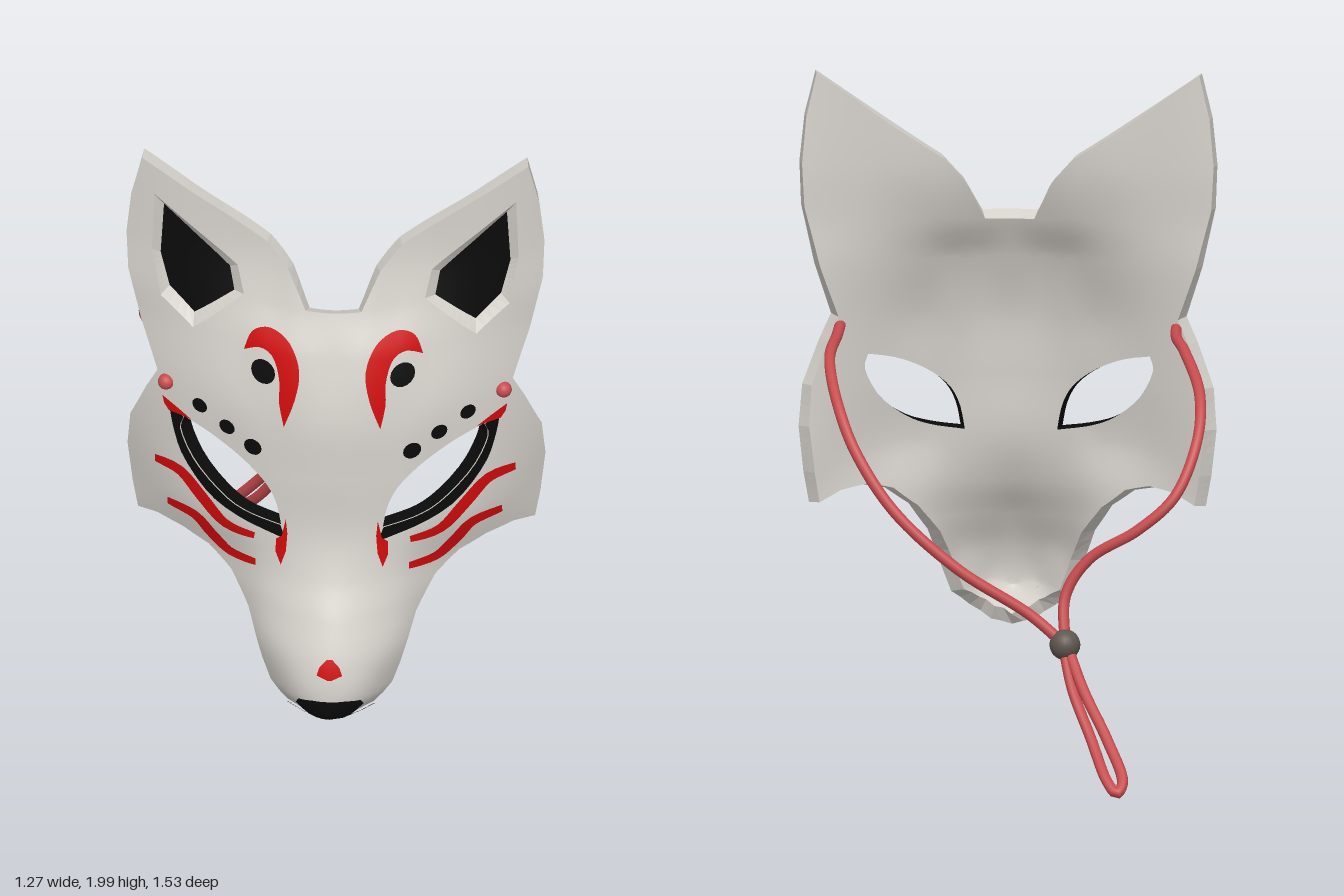
import * as THREE from 'three';

const mat = (name, color) => Object.assign(new THREE.MeshStandardMaterial({ color }), { name });
const white = mat('mask white', 0xd4d0ca);
const black = mat('paint black', 0x0a0a0a);
const red = mat('paint red', 0xcc0a0c);
const cordRed = mat('cord red', 0xc84c4e);
const brown = mat('bead brown', 0x5e564f);

const THICK = 0.05;   // shell thickness
const STEP = 0.04;    // longest edge of a facet

// Depth of the face: one row per height, one column per distance from the middle
const XS = [0, 0.1, 0.2, 0.3, 0.45, 0.65];
const YS = [0.187, 0.24, 0.3, 0.42, 0.55, 0.66, 0.8, 1.0, 1.2, 1.4, 1.53, 1.7, 2.0];
const ROWS = [
  [0.61, 0.575, 0.50, 0.40, 0.25, 0.10],
  [0.735, 0.67, 0.55, 0.42, 0.25, 0.10],
  [0.76, 0.72, 0.585, 0.43, 0.26, 0.10],
  [0.745, 0.715, 0.62, 0.46, 0.30, 0.12],
  [0.69, 0.66, 0.59, 0.48, 0.34, 0.15],
  [0.63, 0.61, 0.56, 0.485, 0.375, 0.19],
  [0.59, 0.58, 0.55, 0.51, 0.41, 0.21],
  [0.585, 0.575, 0.545, 0.495, 0.405, 0.25],
  [0.575, 0.565, 0.53, 0.485, 0.395, 0.275],
  [0.52, 0.515, 0.48, 0.43, 0.37, 0.29],
  [0.465, 0.45, 0.415, 0.39, 0.36, 0.305],
  [0.40, 0.40, 0.375, 0.36, 0.35, 0.31],
  [0.38, 0.38, 0.37, 0.36, 0.35, 0.33],
];

// Smooth interpolation of values vs at knots ks
function spline(ks, vs, t, flatStart) {
  const n = ks.length - 1;
  t = Math.min(Math.max(t, ks[0]), ks[n]);
  let i = 0;
  while (i < n - 1 && t > ks[i + 1]) i++;
  const slope = (j) => {
    if (j === 0 && flatStart) return 0;
    const a = Math.max(j - 1, 0), b = Math.min(j + 1, n);
    return (vs[b] - vs[a]) / (ks[b] - ks[a]);
  };
  const h = ks[i + 1] - ks[i], u = (t - ks[i]) / h, w = 1 - u;
  return vs[i] * (1 + 2 * u) * w * w + vs[i + 1] * u * u * (3 - 2 * u)
    + h * u * w * (slope(i) * w - slope(i + 1) * u);
}
const depthAt = (x, y) => spline(YS, ROWS.map((r) => spline(XS, r, Math.abs(x), true)), y, false);

function normalAt({ x, y }) {
  const e = 0.005;
  return new THREE.Vector3(
    (depthAt(x - e, y) - depthAt(x + e, y)) / (2 * e),
    (depthAt(x, y - e) - depthAt(x, y + e)) / (2 * e), 1).normalize();
}
// Point at a given depth below the face
const place = (p, d, n = normalAt(p)) => new THREE.Vector3(p.x, p.y, depthAt(p.x, p.y)).addScaledVector(n, -d);

const pts = (list, s = 1) => list.map(([x, y]) => new THREE.Vector2(x * s, y));
const curve = (list, s = 1, n = 16) => new THREE.SplineCurve(pts(list, s)).getPoints(n);
const orient = (c, ccw) => ((THREE.ShapeUtils.area(c) > 0) === ccw ? c : c.slice().reverse());
const circle = (x, y, r) => Array.from({ length: 16 }, (_, i) =>
  new THREE.Vector2(x + r * Math.cos(i * Math.PI / 8), y + r * Math.sin(i * Math.PI / 8)));

function makeMesh(name, material, pos, nor) {
  const g = new THREE.BufferGeometry();
  g.setAttribute('position', new THREE.Float32BufferAttribute(pos, 3));
  if (nor) g.setAttribute('normal', new THREE.Float32BufferAttribute(nor, 3));
  else g.computeVertexNormals();
  const m = new THREE.Mesh(g, material);
  m.name = name;
  return m;
}

// Flat outline, finely divided and laid on the face at depth d
function sheet(name, material, contour, holes, d, back = false) {
  const c = orient(contour, true), hs = holes.map((h) => orient(h, false));
  const all = [c, ...hs].flat(), pos = [], nor = [];
  const emit = (a, b, e) => {
    for (const p of back ? [a, e, b] : [a, b, e]) {
      const n = normalAt(p);
      pos.push(...place(p, d, n).toArray());
      nor.push(...n.multiplyScalar(back ? -1 : 1).toArray());
    }
  };
  // Halve the longest edge until every edge is short
  const split = (a, b, e) => {
    const ab = a.distanceTo(b), be = b.distanceTo(e), ea = e.distanceTo(a);
    if (Math.max(ab, be, ea) <= STEP) return emit(a, b, e);
    let [p, q, r] = [a, b, e];
    if (be > ab && be >= ea) [p, q, r] = [b, e, a];
    else if (ea > ab) [p, q, r] = [e, a, b];
    const mid = p.clone().add(q).multiplyScalar(0.5);
    split(p, mid, r);
    split(mid, q, r);
  };
  for (const [i, j, k] of THREE.ShapeUtils.triangulateShape(c, hs)) {
    const [a, b, e] = [all[i], all[j], all[k]];
    if (THREE.ShapeUtils.area([a, b, e]) > 0) split(a, b, e); else split(a, e, b);
  }
  return makeMesh(name, material, pos, nor);
}

// Band joining contour A at depth dA to contour B at depth dB
function wall(name, material, A, dA, B, dB) {
  const pos = [];
  A.forEach((a, i) => {
    const j = (i + 1) % A.length, len = a.distanceTo(A[j]);
    const n = 2 ** Math.max(0, Math.ceil(Math.log2(len / STEP)));
    const at = (C, t, d) => place(C[i].clone().lerp(C[j], t), d);
    for (let k = 0; k < n; k++) {
      const f0 = at(A, k / n, dA), f1 = at(A, (k + 1) / n, dA);
      const b0 = at(B, k / n, dB), b1 = at(B, (k + 1) / n, dB);
      for (const p of [f0, b0, b1, f0, b1, f1]) pos.push(...p.toArray());
    }
  });
  return makeMesh(name, material, pos);
}

// Tapered brush stroke along a centre line
function stroke(list, s, width) {
  const c = new THREE.SplineCurve(pts(list, s)), a = [], b = [];
  for (let i = 0; i <= 16; i++) {
    const t = i / 16, p = c.getPoint(t), q = c.getTangent(t);
    const w = width / 2 * (0.45 + 0.55 * Math.sin(Math.PI * Math.min(1, t * 0.85 + 0.1)));
    a.push(new THREE.Vector2(p.x - q.y * w, p.y + q.x * w));
    b.unshift(new THREE.Vector2(p.x + q.y * w, p.y - q.x * w));
  }
  return [...a, ...b];
}

const HALF = [[0.085, 1.53], [0.14, 1.645], [0.205, 1.725], [0.435, 1.885], [0.587, 1.995], [0.62, 1.86],
  [0.635, 1.715], [0.63, 1.58], [0.59, 1.395], [0.54, 1.23], [0.575, 1.155], [0.625, 1.025], [0.635, 0.9],
  [0.62, 0.76], [0.603, 0.663], [0.54, 0.685], [0.46, 0.685], [0.38, 0.66], [0.31, 0.6], [0.255, 0.505],
  [0.21, 0.36], [0.185, 0.29], [0.13, 0.24], [0.065, 0.2]];
const LID_TOP = [[0.155, 0.825], [0.17, 0.9], [0.205, 0.965], [0.275, 1.025], [0.37, 1.075], [0.455, 1.1]];
const LID_LOW = [[0.455, 1.1], [0.465, 1.05], [0.42, 0.96], [0.33, 0.88], [0.25, 0.845], [0.155, 0.825]];
const LINER = [[0.14, 0.78], [0.26, 0.815], [0.37, 0.865], [0.455, 0.96], [0.487, 1.05], [0.5, 1.125]];
const EAR_RIM = [[0.55, 1.865], [0.295, 1.635], [0.275, 1.545], [0.43, 1.41], [0.53, 1.5], [0.557, 1.66]];
const EAR_PIT = [[0.525, 1.815], [0.322, 1.62], [0.31, 1.545], [0.435, 1.45], [0.51, 1.525], [0.537, 1.64]];
const BROW_OUT = [[0.27, 1.385], [0.245, 1.445], [0.19, 1.465], [0.13, 1.435], [0.1, 1.36], [0.112, 1.27], [0.145, 1.175]];
const BROW_IN = [[0.145, 1.175], [0.16, 1.25], [0.16, 1.32], [0.18, 1.385], [0.22, 1.405], [0.27, 1.385]];

export function createModel() {
  const model = new THREE.Group();
  model.name = 'foxMask';
  const paint = (name, material, contour, d = -0.005) => model.add(sheet(name, material, contour, [], d));

  // Shell with eye openings and ear hollows
  const outline = orient([...pts(HALF), new THREE.Vector2(0, 0.187), ...pts(HALF, -1).reverse()], true);
  const eyes = [1, -1].map((s) => orient([...curve(LID_TOP, s), ...curve(LID_LOW, s).slice(1, -1)], false));
  const rims = [1, -1].map((s) => orient(pts(EAR_RIM, s), false));
  const pits = [1, -1].map((s) => orient(pts(EAR_PIT, s), false));
  model.add(sheet('maskFront', white, outline, [...eyes, ...rims], 0));
  model.add(sheet('maskBack', white, outline, eyes, THICK, true));
  model.add(wall('maskRim', white, outline, 0, outline, THICK));

  [1, -1].forEach((s, i) => {
    const side = s > 0 ? 'left' : 'right';
    model.add(wall(side + 'EyeEdge', black, eyes[i], 0, eyes[i], THICK));
    model.add(wall(side + 'EarBevel', white, rims[i], 0, pits[i], 0.025));
    paint(side + 'InnerEar', black, pits[i], 0.025);

    // Eye paint
    paint(side + 'EyeLiner', black, [...curve(LINER, s), ...curve(LID_LOW, s)]);
    paint(side + 'OuterEyeMark', red, pts([[0.43, 1.103], [0.47, 1.125], [0.52, 1.15], [0.515, 1.125], [0.5, 1.105], [0.46, 1.105]], s), -0.007);
    paint(side + 'InnerEyeMark', red, pts([[0.138, 0.85], [0.15, 0.79], [0.168, 0.775], [0.168, 0.73], [0.152, 0.692], [0.137, 0.74], [0.133, 0.8]], s), -0.007);

    // Brow and dots
    paint(side + 'Brow', red, [...curve(BROW_OUT, s, 24), ...curve(BROW_IN, s).slice(1, -1)]);
    for (const [x, y, r] of [[0.21, 1.335, 0.037], [0.24, 1.08, 0.027], [0.32, 1.122, 0.024], [0.405, 1.162, 0.023]])
      paint(side + 'Dot', black, circle(x * s, y, r));

    // Cheek stripes
    paint(side + 'UpperCheekStripe', red, stroke([[0.545, 0.905], [0.465, 0.905], [0.395, 0.845], [0.325, 0.782], [0.235, 0.768]], s, 0.042));
    paint(side + 'LowerCheekStripe', red, stroke([[0.505, 0.768], [0.42, 0.768], [0.365, 0.715], [0.31, 0.672], [0.23, 0.672]], s, 0.042));

    // Knot where the cord passes the mask
    const knot = new THREE.Mesh(new THREE.SphereGeometry(0.025, 16, 12), cordRed);
    knot.name = side + 'CordKnot';
    knot.position.set(0.513 * s, 1.2, 0.36);
    model.add(knot);
  });

  // Nose, snout mark and mouth
  const mirrored = (list) => [...pts(list), ...pts(list, -1).reverse()];
  paint('nose', black, mirrored([[0.02, 0.226], [0.06, 0.25], [0.098, 0.29], [0.09, 0.308], [0.05, 0.316]]), -0.008);
  paint('snoutMark', red, mirrored([[0.006, 0.386], [0.038, 0.4], [0.03, 0.425], [0.008, 0.45]]));
  paint('mouth', red, [...mirrored([[0.065, 0.202], [0.127, 0.24]]), new THREE.Vector2(0, 0.189)]);
  paint('mouthLine', black, mirrored([[0.128, 0.236], [0.128, 0.244]]), -0.007);

  // Cord: two sides meeting at the bead, then a loop
  const cord = (name, list) => {
    const path = new THREE.CatmullRomCurve3(list.map((p) => new THREE.Vector3(...p)));
    const m = new THREE.Mesh(new THREE.TubeGeometry(path, 90, 0.017, 10), cordRed);
    m.name = name;
    model.add(m);
  };
  cord('leftCord', [[0.51, 1.2, 0.36], [0.515, 1.2, 0.2], [0.53, 1.18, -0.03], [0.5, 1.09, -0.2], [0.44, 0.965, -0.31],
    [0.32, 0.8, -0.385], [0.125, 0.63, -0.42], [-0.09, 0.49, -0.412], [-0.2, 0.4, -0.43]]);
  cord('rightCord', [[-0.51, 1.2, 0.36], [-0.515, 1.2, 0.2], [-0.545, 1.19, 0.07], [-0.6, 1.11, -0.16], [-0.595, 1.0, -0.28],
    [-0.53, 0.85, -0.37], [-0.42, 0.75, -0.385], [-0.27, 0.65, -0.36], [-0.2, 0.54, -0.37], [-0.2, 0.4, -0.43]]);
  cord('cordLoop', [[-0.205, 0.4, -0.43], [-0.26, 0.28, -0.52], [-0.335, 0.15, -0.61], [-0.386, 0.045, -0.715],
    [-0.37, 0.018, -0.745], [-0.34, 0.045, -0.715], [-0.285, 0.15, -0.595], [-0.225, 0.28, -0.5], [-0.195, 0.4, -0.43]]);
  const bead = new THREE.Mesh(new THREE.SphereGeometry(0.047, 20, 14), brown);
  bead.name = 'cordBead';
  bead.position.set(-0.2, 0.4, -0.43);
  model.add(bead);

  return model;
}
